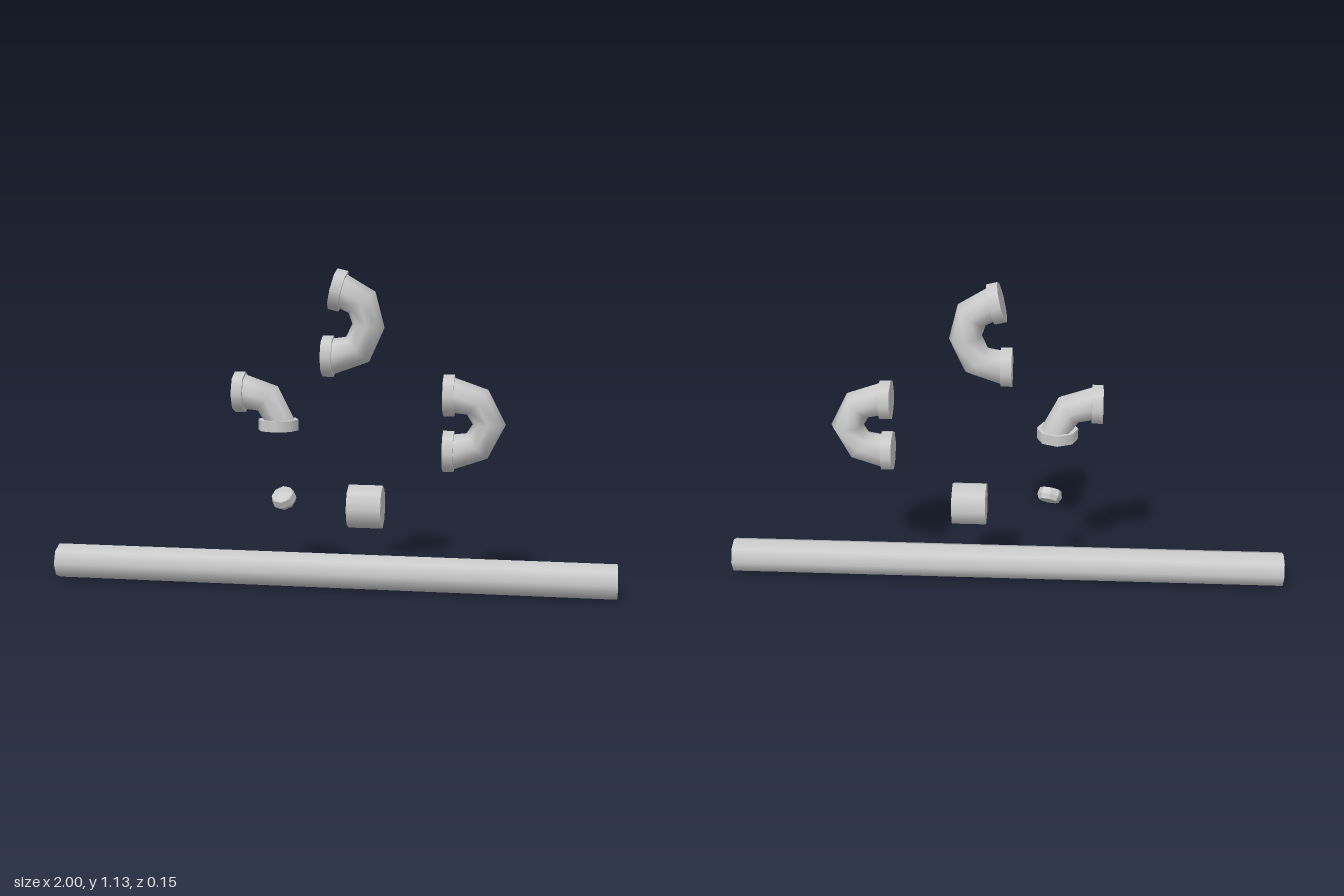
import * as THREE from 'three';

const SIDES = 8;
const material = new THREE.MeshStandardMaterial({ color: 0xcccccc });
const openMaterial = new THREE.MeshStandardMaterial({ color: 0xcccccc, side: THREE.DoubleSide });

// Octagonal cylinder lying along x, then tilted by angle about z
function tube(name, radius, length, x, y, angle = 0, open = false) {
  const geometry = new THREE.CylinderGeometry(radius, radius, length, SIDES, 1, open);
  const mesh = new THREE.Mesh(geometry, open ? openMaterial : material);
  mesh.name = name;
  mesh.rotation.z = Math.PI / 2 + angle;
  mesh.position.set(x, y, 0);
  return mesh;
}

// Bent pipe skinned over rings, each given as [outerX, outerY, innerX, innerY]
function bend(name, rings) {
  const positions = [], index = [];
  rings.forEach(([ox, oy, ix, iy], i) => {
    const cx = (ox + ix) / 2, cy = (oy + iy) / 2;
    for (let k = 0; k < SIDES; k++) {
      const a = (k / SIDES) * Math.PI * 2;
      positions.push(cx + (ox - cx) * Math.cos(a), cy + (oy - cy) * Math.cos(a), 0.061 * Math.sin(a));
      if (i === 0) continue;
      const n = (k + 1) % SIDES, p = (i - 1) * SIDES, q = i * SIDES;
      index.push(p + k, p + n, q + k, p + n, q + n, q + k);
    }
  });
  const geometry = new THREE.BufferGeometry();
  geometry.setAttribute('position', new THREE.Float32BufferAttribute(positions, 3));
  geometry.setIndex(index);
  geometry.computeVertexNormals();
  const mesh = new THREE.Mesh(geometry, openMaterial);
  mesh.name = name;
  return mesh;
}

function fitting(name, rings, collars) {
  const group = new THREE.Group();
  group.name = name;
  group.add(bend(name + 'Pipe', rings));
  for (const [x, y, angle] of collars) group.add(tube(name + 'Collar', 0.072, 0.038, x, y, angle));
  return group;
}

export function createModel() {
  const model = new THREE.Group();
  model.name = 'pipeSet';

  // Long open pipe and short solid coupling
  model.add(tube('longPipe', 0.0625, 2, 0, 0.0625, 0, true));
  model.add(tube('coupling', 0.077, 0.12, 0.13, 0.298));

  // Quarter bend, mirrored about y = 0.6 for the return bend
  const quarter = [
    [0.425, 0.757, 0.425, 0.635],
    [0.436, 0.757, 0.436, 0.635],
    [0.551, 0.717, 0.479, 0.63],
    [0.612, 0.598, 0.499, 0.598],
  ];
  const mirrored = quarter.slice(0, 3).reverse().map(([a, b, c, d]) => [a, 1.196 - b, c, 1.196 - d]);
  model.add(fitting('returnBend', [...quarter, ...mirrored], [[0.417, 0.695, 0], [0.417, 0.501, 0]]));

  // Elbow
  const shifted = quarter.map(([a, b, c, d]) => [a - 0.733, b, c - 0.733, d]);
  model.add(fitting('elbow', shifted, [[-0.316, 0.695, 0], [-0.18, 0.582, Math.PI / 2]]));

  // Trap bend with one tilted end
  model.add(fitting('trapBend', [
    [0.045, 1.112, 0.018, 0.994],
    [0.062, 1.107, 0.036, 0.99],
    [0.161, 1.048, 0.068, 0.975],
    [0.193, 0.925, 0.081, 0.938],
    [0.14, 0.807, 0.06, 0.893],
    [0.018, 0.763, 0.018, 0.887],
    [0.005, 0.763, 0.005, 0.887],
  ], [[0.031, 1.053, -0.24], [-0.003, 0.825, 0]]));

  // Small dished plug, tilted
  const profile = [[0, -0.022], [0.036, -0.022], [0.045, -0.004], [0.039, 0.02], [0.022, 0.012], [0, 0.01]]
    .map(([x, y]) => new THREE.Vector2(x, y));
  const plug = new THREE.Mesh(
    new THREE.LatheGeometry(profile, SIDES),
    new THREE.MeshStandardMaterial({ color: 0xcccccc, flatShading: true }),
  );
  plug.name = 'plug';
  plug.position.set(-0.156, 0.325, 0.03);
  plug.quaternion.setFromUnitVectors(new THREE.Vector3(0, 1, 0), new THREE.Vector3(-0.17, 0.77, 0.61).normalize());
  model.add(plug);

  return model;
}
